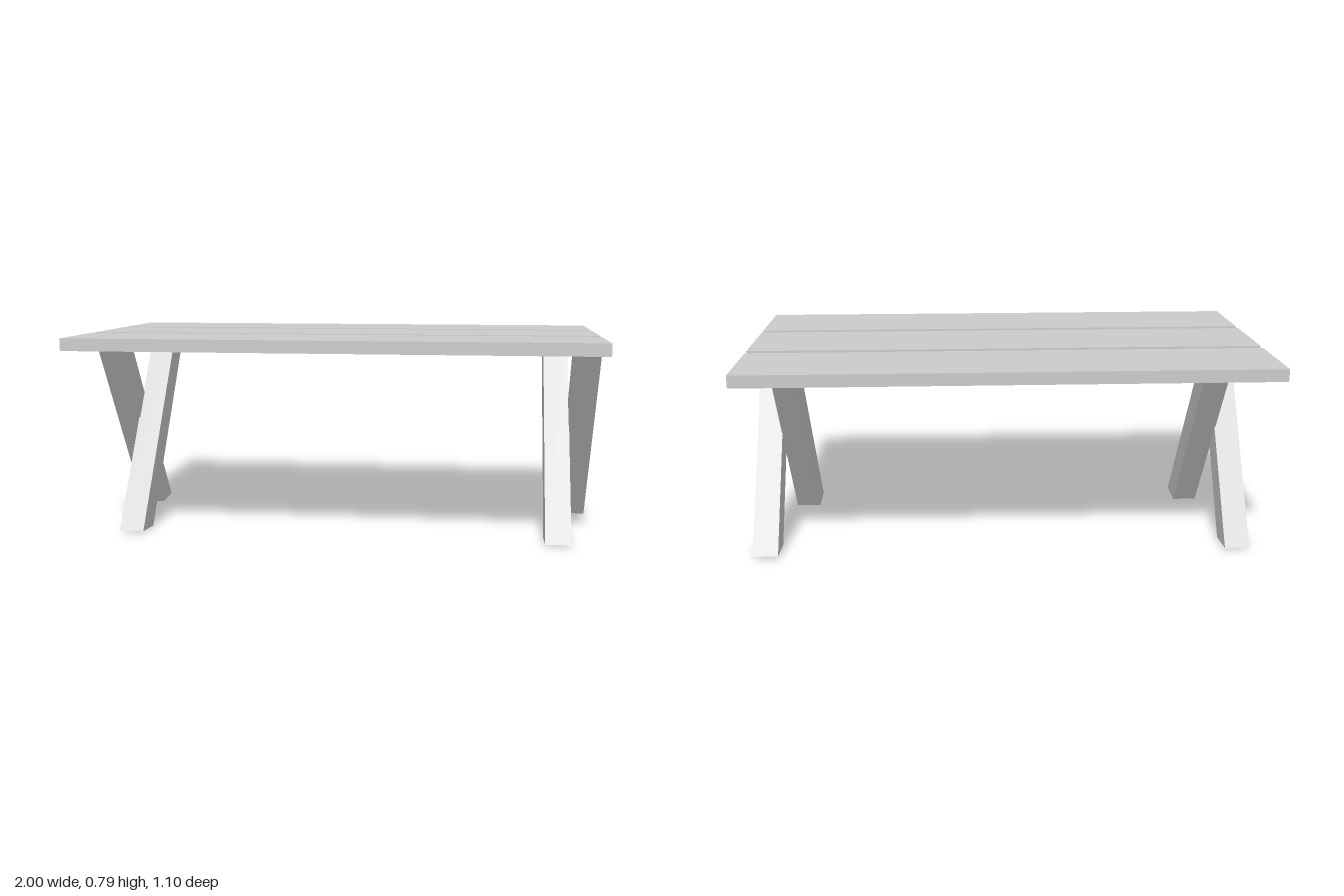
import * as THREE from 'three';

const material = new THREE.MeshStandardMaterial({ color: 0xcccccc, flatShading: true });

// Slanted beam: corners given as [z, y], swept along x from x0 to x1
function beam(name, corners, x0, x1) {
  const shape = new THREE.Shape(corners.map(([z, y]) => new THREE.Vector2(z, y)));
  const geometry = new THREE.ExtrudeGeometry(shape, { depth: x1 - x0, bevelEnabled: false });
  geometry.rotateY(-Math.PI / 2);
  geometry.translate(x1, 0, 0);
  const mesh = new THREE.Mesh(geometry, material);
  mesh.name = name;
  return mesh;
}

export function createModel() {
  const table = new THREE.Group();
  table.name = 'plankTable';

  // Three tabletop planks with narrow gaps
  const top = new THREE.Group();
  top.name = 'tabletop';
  [['frontPlank', 0.379], ['middlePlank', 0.002], ['backPlank', -0.377]].forEach(([name, z]) => {
    const plank = new THREE.Mesh(new THREE.BoxGeometry(2, 0.047, 0.343), material);
    plank.name = name;
    plank.position.set(0, 0.7635, z);
    top.add(plank);
  });
  table.add(top);

  // Leg profile with its foot towards +z; the crossing leg is its mirror
  const footFront = [[0.345, 0.008], [-0.157, 0.75], [-0.281, 0.742], [0.216, 0]];
  const footBack = footFront.map(([z, y]) => [-z - 0.006, y]);

  // X-shaped trestles: two beams side by side at each end
  [
    ['leftTrestle', [0.804, 0.902], [0.9, 0.998]],
    ['rightTrestle', [-0.867, -0.77], [-0.96, -0.863]],
  ].forEach(([name, inner, outer]) => {
    const trestle = new THREE.Group();
    trestle.name = name;
    trestle.add(beam('innerLeg', footFront, ...inner), beam('outerLeg', footBack, ...outer));
    table.add(trestle);
  });

  return table;
}
